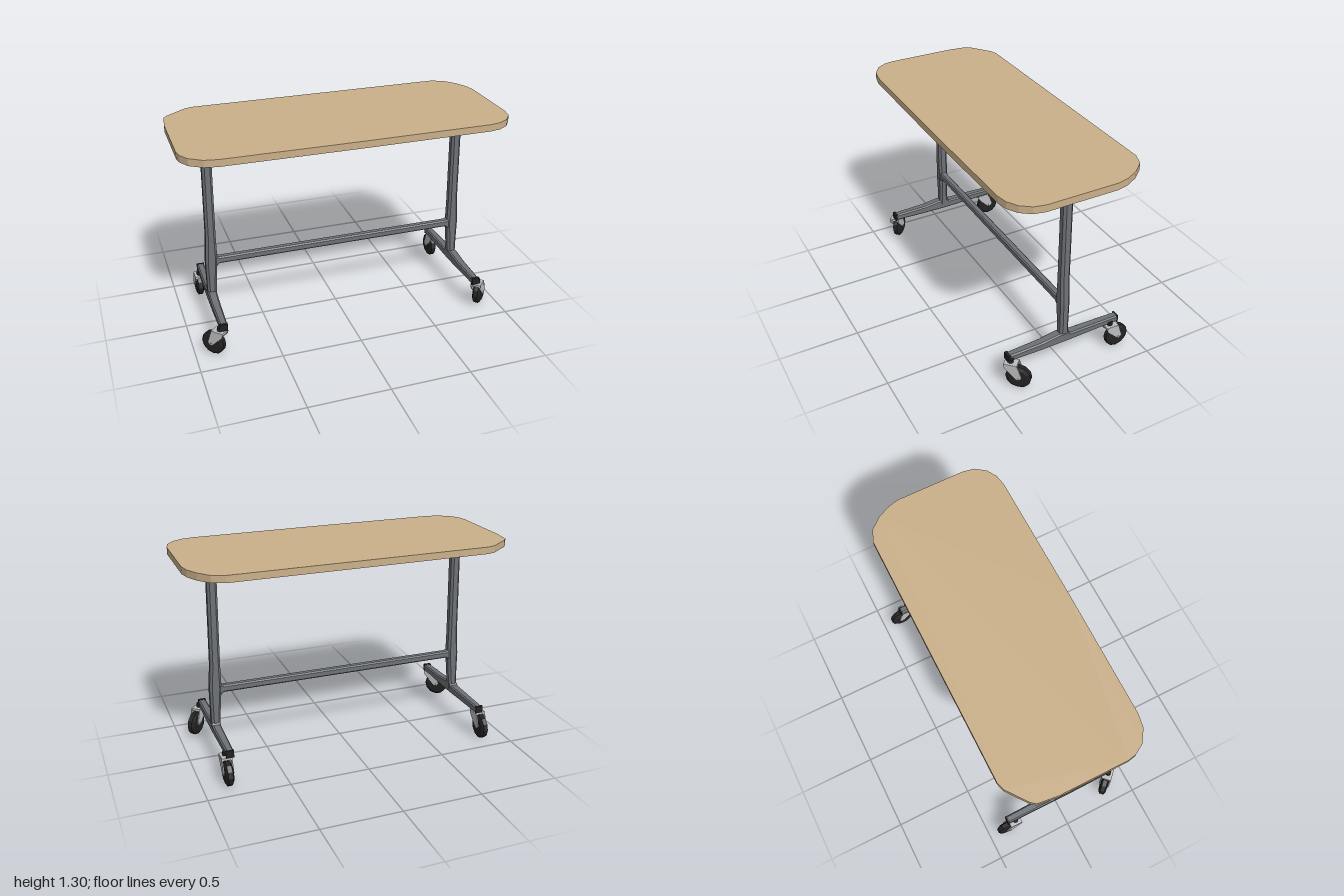
import * as THREE from 'three';

const wood = new THREE.MeshStandardMaterial({ color: 0xcbb08a });
wood.name = 'light wood';
const steel = new THREE.MeshStandardMaterial({ color: 0x6d7176 });
steel.name = 'grey steel';
const zinc = new THREE.MeshStandardMaterial({ color: 0xbcbdc0 });
zinc.name = 'light metal';
const rubber = new THREE.MeshStandardMaterial({ color: 0x222223 });
rubber.name = 'black rubber';

// Faceted normals
function facet(geometry) {
  const g = geometry.index ? geometry.toNonIndexed() : geometry;
  g.computeVertexNormals();
  return g;
}

function add(parent, name, geometry, material, x = 0, y = 0, z = 0) {
  const mesh = new THREE.Mesh(geometry, material);
  mesh.name = name;
  mesh.position.set(x, y, z);
  parent.add(mesh);
  return mesh;
}

// Chamfered bar along y through sections [t, x0, x1, z0, z1]
function bar(sections, chamfer = 0.012) {
  const c = chamfer;
  const rings = sections.map(([t, x0, x1, z0, z1]) => [
    [x1, z0 + c], [x1, z1 - c], [x1 - c, z1], [x0 + c, z1],
    [x0, z1 - c], [x0, z0 + c], [x0 + c, z0], [x1 - c, z0],
  ].map(([x, z]) => [x, t, z]));
  const p = [];
  const tri = (a, b, d) => p.push(...a, ...b, ...d);
  for (let i = 0; i < rings.length - 1; i++) {
    for (let j = 0; j < 8; j++) {
      const k = (j + 1) % 8, lo = rings[i], hi = rings[i + 1];
      tri(lo[j], hi[j], lo[k]);
      tri(lo[k], hi[j], hi[k]);
    }
  }
  const bottom = rings[0], top = rings[rings.length - 1];
  for (let j = 1; j < 7; j++) {
    tri(bottom[0], bottom[j], bottom[j + 1]);
    tri(top[0], top[j + 1], top[j]);
  }
  const g = new THREE.BufferGeometry();
  g.setAttribute('position', new THREE.Float32BufferAttribute(p, 3));
  g.computeVertexNormals();
  return g;
}

// Caster: swivel at the origin, wheel trailing towards -z
function caster(name) {
  const group = new THREE.Group();
  group.name = name;
  const r = 0.077, trail = -0.05;
  const profile = [[0, -0.024], [0.058, -0.024], [r, -0.014], [r, 0.014], [0.058, 0.024], [0, 0.024]]
    .map(([x, y]) => new THREE.Vector2(x, y));
  const wheel = facet(new THREE.LatheGeometry(profile, 12).rotateZ(Math.PI / 2));
  add(group, 'wheel', wheel, rubber, 0, r, trail);

  // Fork cheeks, drawn in z and y
  const cheek = new THREE.Shape([
    [0.035, 0.172], [-0.045, 0.172], [-0.074, 0.085], [-0.06, 0.068], [-0.042, 0.07], [0.03, 0.142],
  ].map(([z, y]) => new THREE.Vector2(-z, y)));
  const plate = new THREE.ExtrudeGeometry(cheek, { depth: 0.007, bevelEnabled: false });
  plate.translate(0, 0, -0.0035).rotateY(Math.PI / 2);
  for (const s of [-1, 1]) add(group, 'forkCheek', plate, zinc, s * 0.029, 0, 0);
  add(group, 'forkTop', new THREE.BoxGeometry(0.062, 0.016, 0.08), zinc, 0, 0.165, -0.005);
  add(group, 'axle', new THREE.CylinderGeometry(0.008, 0.008, 0.07, 8).rotateZ(Math.PI / 2), zinc, 0, r, trail);
  add(group, 'swivelStem', new THREE.CylinderGeometry(0.018, 0.018, 0.03, 10), rubber, 0, 0.182, 0);
  return group;
}

// Upright, foot and two casters for one side
function legAssembly(s) {
  const group = new THREE.Group();
  group.name = s > 0 ? 'leftLeg' : 'rightLeg';
  const span = (a, b) => (s > 0 ? [a, b] : [-b, -a]);

  add(group, 'upright', bar([
    [0.2, ...span(0.797, 0.85), -0.024, 0.04],
    [0.3, ...span(0.79, 0.85), -0.02, 0.037],
    [0.46, ...span(0.776, 0.85), -0.02, 0.04],
    [0.62, ...span(0.777, 0.838), -0.02, 0.04],
    [1.262, ...span(0.768, 0.828), -0.02, 0.04],
  ], 0.014), steel);
  add(group, 'mountPlate', new THREE.BoxGeometry(0.07, 0.008, 0.1), steel, s * 0.798, 1.257, 0.01);

  // Foot rail, highest under the upright
  const rail = bar([
    [-0.365, ...span(0.803, 0.85), -0.222, -0.178],
    [-0.03, ...span(0.797, 0.853), -0.228, -0.174],
    [-0.018, ...span(0.797, 0.853), -0.242, -0.174],
    [0.045, ...span(0.797, 0.853), -0.244, -0.174],
    [0.16, ...span(0.799, 0.853), -0.228, -0.174],
    [0.374, ...span(0.803, 0.85), -0.222, -0.178],
  ], 0.008).rotateX(Math.PI / 2);
  add(group, 'footRail', rail, steel);
  for (const z of [-0.367, 0.38]) {
    add(group, 'footCap', new THREE.BoxGeometry(0.048, 0.048, z > 0 ? 0.018 : 0.01), rubber, s * 0.827, 0.2, z);
  }

  const front = caster('frontCaster');
  front.position.set(s * 0.848, 0.006, 0.372);
  front.rotation.y = -s * Math.PI / 4;
  const back = caster('backCaster');
  back.position.set(s * 0.845, 0, -0.317);
  group.add(front, back);
  return group;
}

export function createModel() {
  const model = new THREE.Group();
  model.name = 'rollingTable';

  // Tabletop outline in x and z, with cut round corners
  const outline = [
    [-0.8, 0.435], [-0.88, 0.42], [-0.955, 0.37], [-0.99, 0.31], [-1, 0.26],
    [-1, -0.16], [-0.985, -0.285], [-0.96, -0.315], [-0.84, -0.405], [-0.79, -0.42],
    [0.81, -0.42], [0.885, -0.39], [0.945, -0.32], [0.985, -0.24], [1, -0.17],
    [1, 0.26], [0.985, 0.33], [0.94, 0.39], [0.88, 0.425], [0.81, 0.438], [0, 0.441],
  ];
  const shape = new THREE.Shape(outline.map(([x, z]) => new THREE.Vector2(x, -z)));
  const top = new THREE.ExtrudeGeometry(shape, { depth: 0.043, bevelEnabled: false }).rotateX(-Math.PI / 2);
  add(model, 'tabletop', top, wood, 0, 1.259, 0);

  // Crossbar with flared ends
  const cross = bar([
    [-0.79, 0.412, 0.49, -0.014, 0.034],
    [-0.762, 0.432, 0.477, -0.012, 0.032],
    [0.762, 0.432, 0.477, -0.012, 0.032],
    [0.79, 0.412, 0.49, -0.014, 0.034],
  ], 0.008);
  // Lay the bar along x, keeping its height upward
  cross.rotateZ(Math.PI / 2);
  add(model, 'crossbar', cross, steel);

  for (const s of [1, -1]) model.add(legAssembly(s));
  return model;
}
